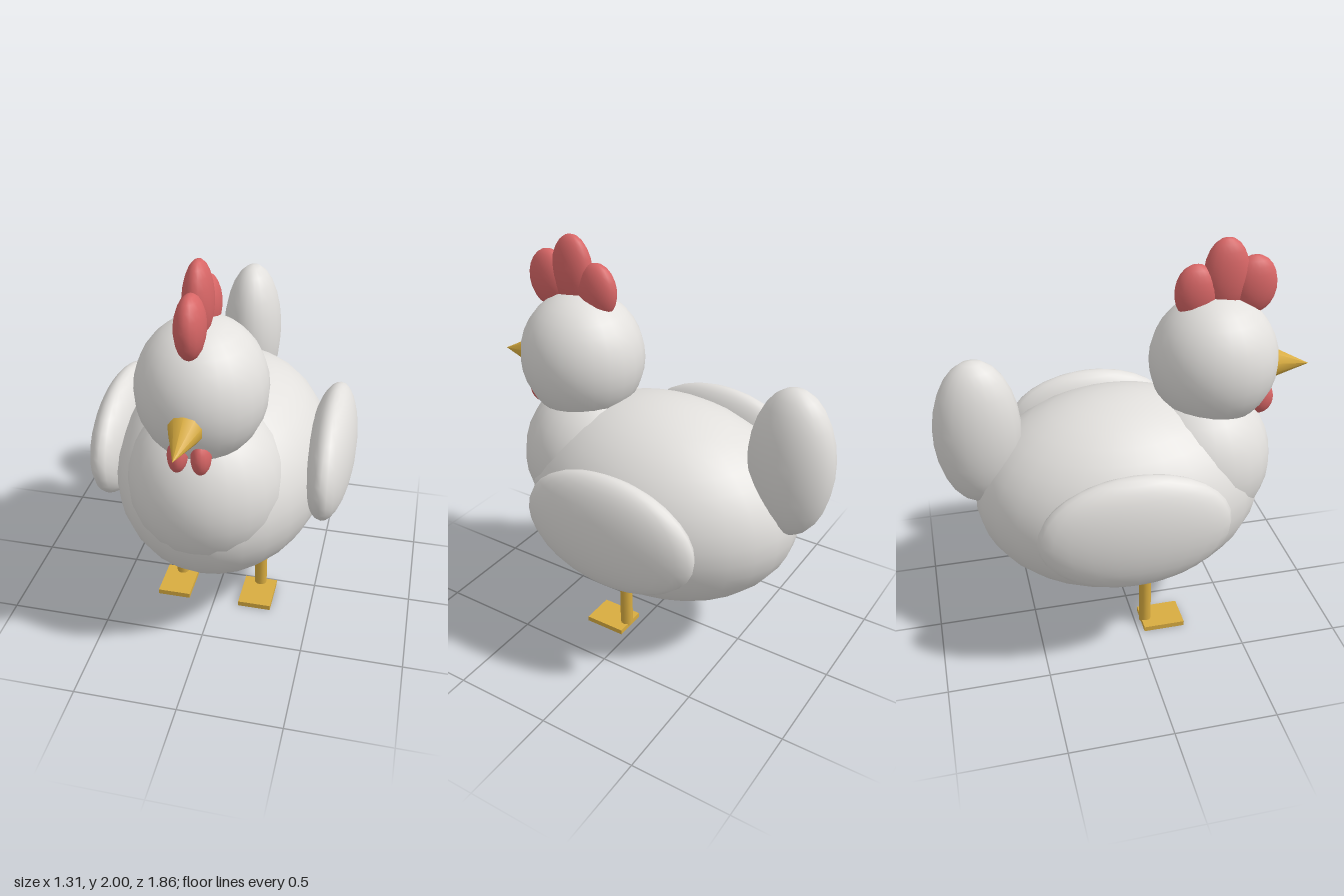
import * as THREE from 'three';

export function createModel() {
  const group = new THREE.Group();
  group.name = 'hen';

  const makeMaterial = (name, color) => {
    const material = new THREE.MeshStandardMaterial({ color });
    material.name = name;
    return material;
  };
  const feather = makeMaterial('feather white', 0xe2e0dd);
  const red = makeMaterial('comb red', 0xd86666);
  const gold = makeMaterial('beak gold', 0xd8ac40);

  const add = (name, geometry, material, [x, y, z]) => {
    const mesh = new THREE.Mesh(geometry, material);
    mesh.name = name;
    mesh.position.set(x, y, z);
    group.add(mesh);
    return mesh;
  };

  // Smooth egg shape with the given radii
  const egg = (name, material, position, radii, segments = 24) => {
    const geometry = new THREE.SphereGeometry(1, segments, Math.round(segments * 0.67));
    geometry.scale(...radii);
    return add(name, geometry, material, position);
  };

  // Plumage
  egg('body', feather, [0, 0.745, -0.035], [0.53, 0.512, 0.722], 28);
  egg('chest', feather, [0, 0.875, 0.365], [0.37, 0.4, 0.37]);
  egg('head', feather, [0, 1.395, 0.435], [0.298, 0.33, 0.315]);
  egg('tail', feather, [0, 1.135, -0.72], [0.155, 0.377, 0.21], 20);

  // Comb lobes, front to back
  egg('combFront', red, [0, 1.763, 0.618], [0.066, 0.143, 0.112], 16);
  egg('combMiddle', red, [0, 1.82, 0.478], [0.066, 0.18, 0.112], 16);
  egg('combBack', red, [0, 1.745, 0.335], [0.066, 0.138, 0.105], 16);

  // Beak, tipped slightly downward
  const beak = add('beak', new THREE.ConeGeometry(0.081, 0.21, 10), gold, [0, 1.331, 0.828]);
  beak.rotation.x = Math.PI / 2 + 0.14;

  // Paired parts
  for (const [side, s] of [['left', 1], ['right', -1]]) {
    egg(side + 'Wing', feather, [s * 0.535, 0.83, -0.075], [0.12, 0.298, 0.457]);
    egg(side + 'Wattle', red, [s * 0.052, 1.185, 0.67], [0.045, 0.085, 0.066], 16);
    add(side + 'Leg', new THREE.CylinderGeometry(0.032, 0.032, 0.3, 12), gold, [s * 0.215, 0.165, 0.053]);
    add(side + 'Foot', new THREE.BoxGeometry(0.168, 0.026, 0.212), gold, [s * 0.215, 0.013, 0.138]);
  }
  return group;
}
